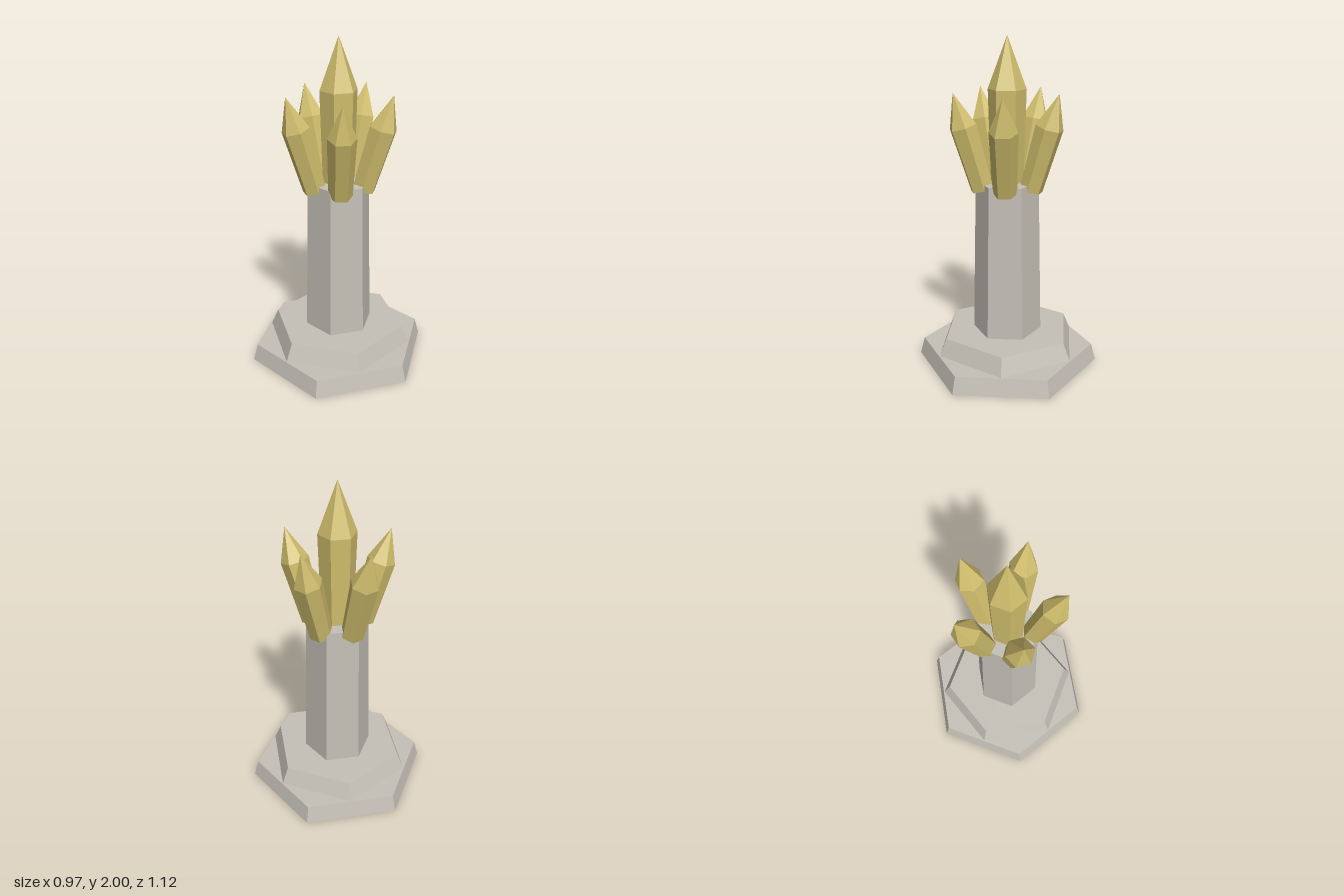
import * as THREE from 'three';

export function createModel() {
  const model = new THREE.Group();
  const stone = new THREE.MeshStandardMaterial({ color: 0xc4c0b7, flatShading: true });
  stone.name = 'pale stone';
  const gold = new THREE.MeshStandardMaterial({ color: 0xcfbd6c, flatShading: true });
  gold.name = 'golden crystal';

  // Six-sided tapered block standing between two heights
  function hexBlock(name, rBottom, rTop, y0, y1, turn = 0) {
    const geo = new THREE.CylinderGeometry(rTop, rBottom, y1 - y0, 6, 1, false, turn);
    const mesh = new THREE.Mesh(geo, stone);
    mesh.name = name;
    mesh.position.y = (y0 + y1) / 2;
    model.add(mesh);
  }

  // Six-sided crystal: flared shaft with a pointed tip, base at the origin
  function crystal(name, rBase, rShoulder, shoulder, height) {
    const profile = [[0, 0], [rBase, 0], [rShoulder, shoulder], [0, height]]
      .map(([r, y]) => new THREE.Vector2(r, y));
    const mesh = new THREE.Mesh(new THREE.LatheGeometry(profile, 6), gold);
    mesh.name = name;
    return mesh;
  }

  // Stepped plinth and column
  hexBlock('lowerPlinth', 0.56, 0.532, 0, 0.105);
  hexBlock('upperPlinth', 0.455, 0.41, 0.105, 0.21, Math.PI / 6);
  hexBlock('column', 0.21, 0.188, 0.21, 1.155);

  // Tall central crystal
  const centre = crystal('centralCrystal', 0.095, 0.112, 0.6, 0.9);
  centre.position.y = 1.1;
  model.add(centre);

  // Ring of five crystals leaning outwards
  for (let i = 0; i < 5; i++) {
    const arm = new THREE.Group();
    arm.name = `outerCrystal${i + 1}`;
    const shard = crystal('shard', 0.07, 0.083, 0.39, 0.59);
    shard.position.set(0.152, 1.12, 0);
    shard.rotation.z = -0.28;
    arm.add(shard);
    arm.rotation.y = (i * Math.PI * 2) / 5;
    model.add(arm);
  }

  return model;
}
